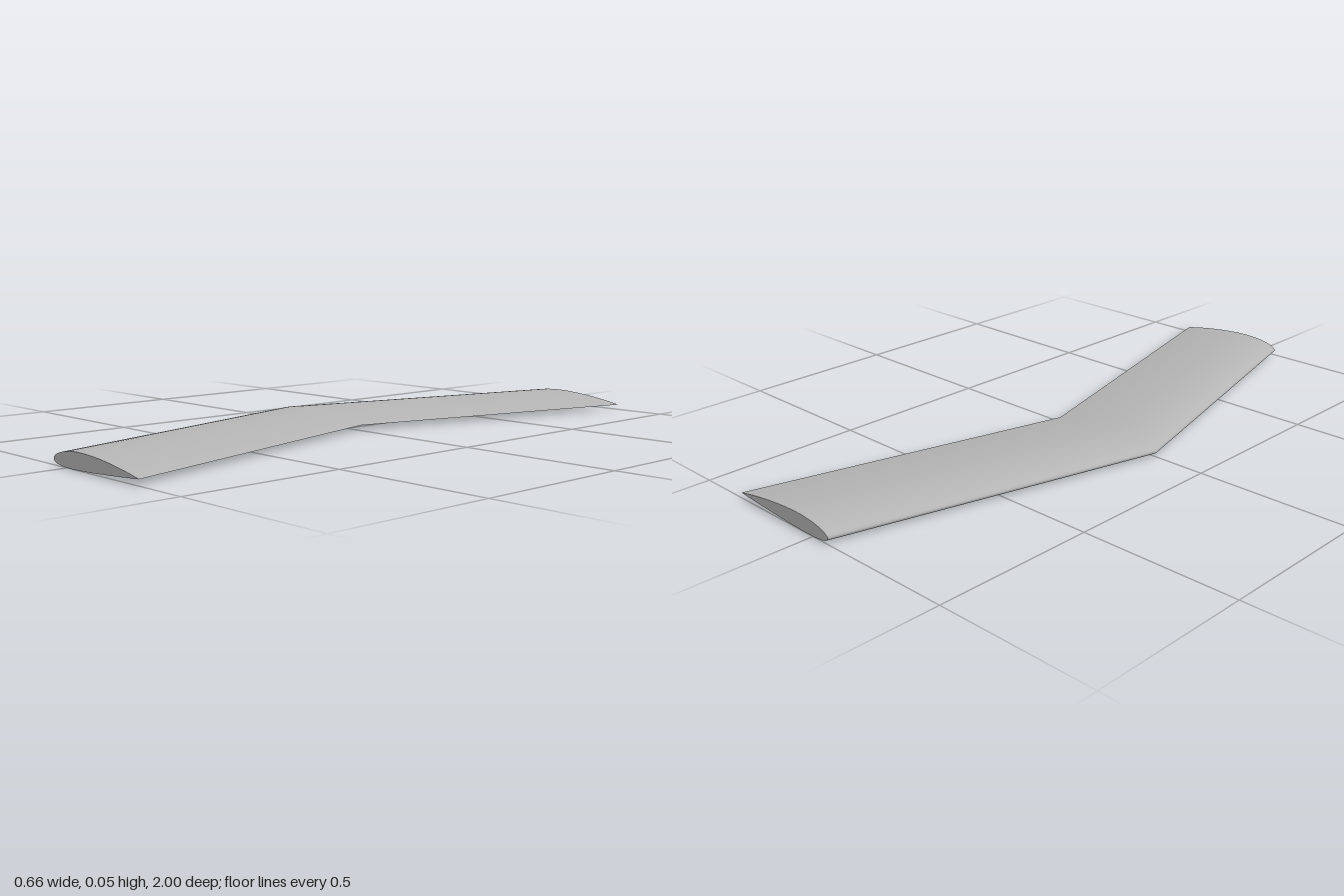
import * as THREE from 'three';

const CHORD = 0.397, BASE_Y = 0.019, STEPS = 32;
// Leading edge position along the span: swept back from the root to both tips
const STATIONS = [{ z: -1, x: -0.066 }, { z: 0, x: -0.333 }, { z: 1, x: -0.066 }];

// Cambered aerofoil, 12% thick: trailing edge, over the top, back underneath
function aerofoil() {
  const thickness = t => 0.6 * (0.2969 * Math.sqrt(t) - 0.126 * t - 0.3516 * t ** 2 + 0.2843 * t ** 3 - 0.1036 * t ** 4);
  const m = 0.02, p = 0.4;
  const points = [];
  for (let i = -STEPS; i <= STEPS; i++) {
    const t = (1 - Math.cos(Math.PI * Math.abs(i) / STEPS)) / 2;
    const front = t < p, k = m / (front ? p * p : (1 - p) ** 2);
    const camber = front ? k * (2 * p * t - t * t) : k * (1 - 2 * p + 2 * p * t - t * t);
    const slope = Math.atan(2 * k * (p - t));
    const side = i < 0 ? 1 : -1, h = thickness(t) * side;
    points.push(new THREE.Vector2((t - h * Math.sin(slope)) * CHORD, (camber + h * Math.cos(slope)) * CHORD + BASE_Y));
  }
  return points;
}

// Smooth skin joining the sections, with a sharp trailing edge
function skinGeometry(profile) {
  const positions = [], indices = [], n = profile.length;
  for (const s of STATIONS) for (const p of profile) positions.push(p.x + s.x, p.y, s.z);
  for (let s = 0; s < STATIONS.length - 1; s++) {
    for (let i = 0; i < n - 1; i++) {
      const a = s * n + i, b = a + 1, c = b + n, d = a + n;
      indices.push(a, b, c, a, c, d);
    }
  }
  const g = new THREE.BufferGeometry();
  g.setAttribute('position', new THREE.Float32BufferAttribute(positions, 3));
  g.setIndex(indices);
  g.computeVertexNormals();
  return g;
}

// Flat tip face, turned outward
function tipGeometry(profile, station) {
  const g = new THREE.ShapeGeometry(new THREE.Shape(profile.slice(0, -1)));
  if (station.z < 0) {
    g.setIndex(Array.from(g.index.array).reverse());
    g.computeVertexNormals();
  }
  return g.translate(station.x, 0, station.z);
}

export function createModel() {
  const group = new THREE.Group();
  group.name = 'sweptWing';
  const grey = new THREE.MeshStandardMaterial({ color: 0xb4b4b4 });
  grey.name = 'light grey';
  const profile = aerofoil();

  const add = (name, geometry) => {
    const mesh = new THREE.Mesh(geometry, grey);
    mesh.name = name;
    group.add(mesh);
  };
  add('wingSkin', skinGeometry(profile));
  add('backWingTip', tipGeometry(profile, STATIONS[0]));
  add('frontWingTip', tipGeometry(profile, STATIONS[2]));
  return group;
}
